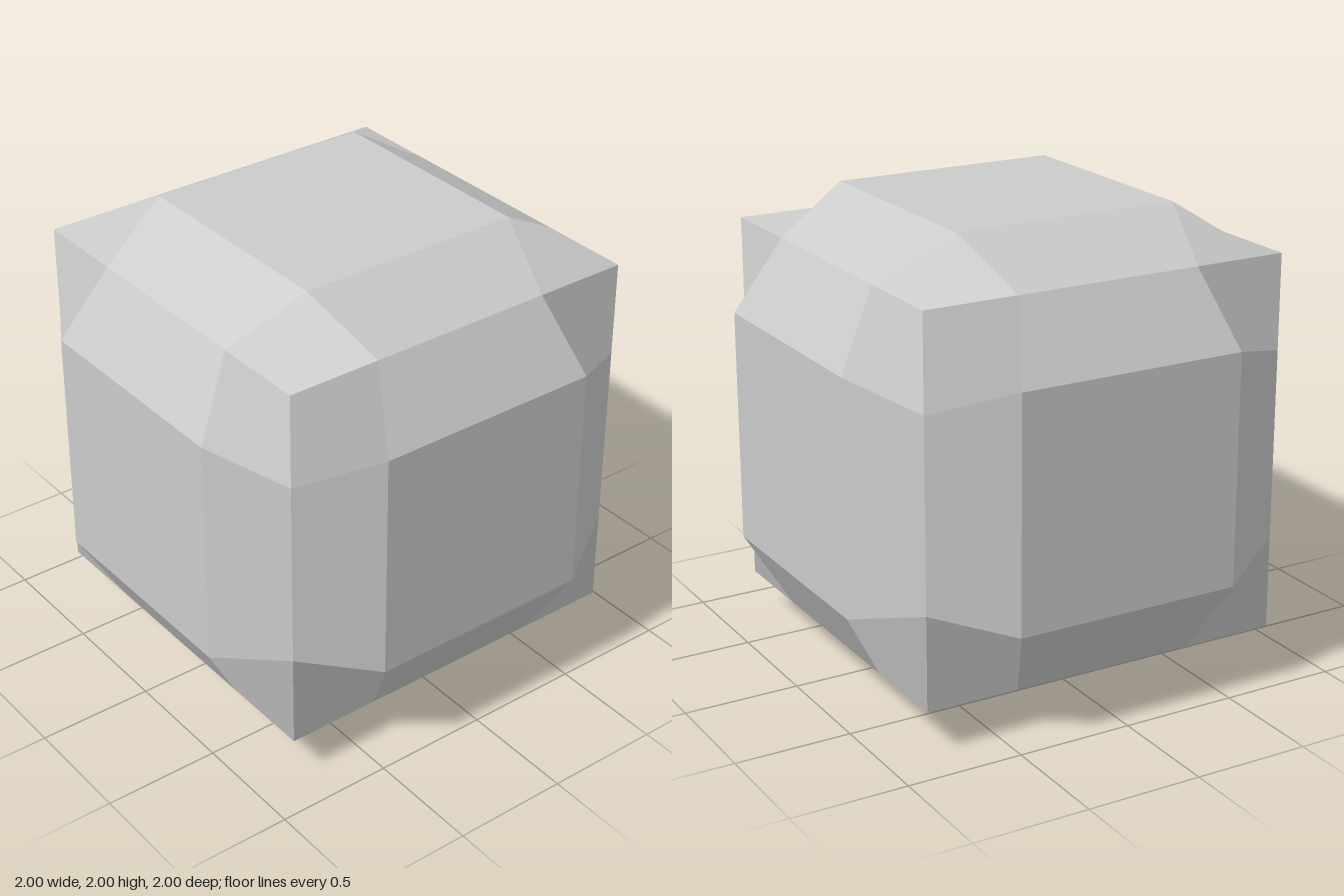
import * as THREE from 'three';

const INNER = 0.5;    // half width of the flat panel on each side
const RIM = 0.8165;   // cube corners and edges
const NOTCH = 0.408;  // where the bevel strips end along an edge

// Grid point (i, j = 0..3) of the side that faces +z
function gridPoint(i, j) {
  const sx = i < 2 ? -1 : 1, sy = j < 2 ? -1 : 1;
  const onX = i % 3 === 0, onY = j % 3 === 0;
  if (!onX && !onY) return new THREE.Vector3(sx * INNER, sy * INNER, 1);
  return new THREE.Vector3(sx * (onX ? RIM : NOTCH), sy * (onY ? RIM : NOTCH), RIM);
}

// One side: centre panel, four bevel strips and four dished corner facets
function sideGeometry() {
  const positions = [], normals = [];
  for (let i = 0; i < 3; i++) {
    for (let j = 0; j < 3; j++) {
      const a = gridPoint(i, j), b = gridPoint(i + 1, j);
      const c = gridPoint(i + 1, j + 1), d = gridPoint(i, j + 1);
      // one shared normal for each facet
      const n = c.clone().sub(a).cross(d.clone().sub(b)).normalize();
      // the fold of a corner facet runs across the cube corner
      const corners = i === j ? [a, b, d, b, c, d] : [a, b, c, a, c, d];
      for (const p of corners) {
        positions.push(p.x, p.y, p.z);
        normals.push(n.x, n.y, n.z);
      }
    }
  }
  const geometry = new THREE.BufferGeometry();
  geometry.setAttribute('position', new THREE.Float32BufferAttribute(positions, 3));
  geometry.setAttribute('normal', new THREE.Float32BufferAttribute(normals, 3));
  return geometry;
}

export function createModel() {
  const model = new THREE.Group();
  model.name = 'bevelledCube';
  const material = new THREE.MeshStandardMaterial({ color: 0xcccccc });
  const geometry = sideGeometry();
  const q = Math.PI / 2;

  // The same side turned to all six directions
  const sides = [
    ['frontSide', 0, 0], ['leftSide', 0, q], ['backSide', 0, 2 * q],
    ['rightSide', 0, -q], ['topSide', -q, 0], ['bottomSide', q, 0],
  ];
  for (const [name, rx, ry] of sides) {
    const side = new THREE.Mesh(geometry, material);
    side.name = name;
    side.rotation.set(rx, ry, 0);
    side.position.y = 1;
    model.add(side);
  }
  return model;
}
